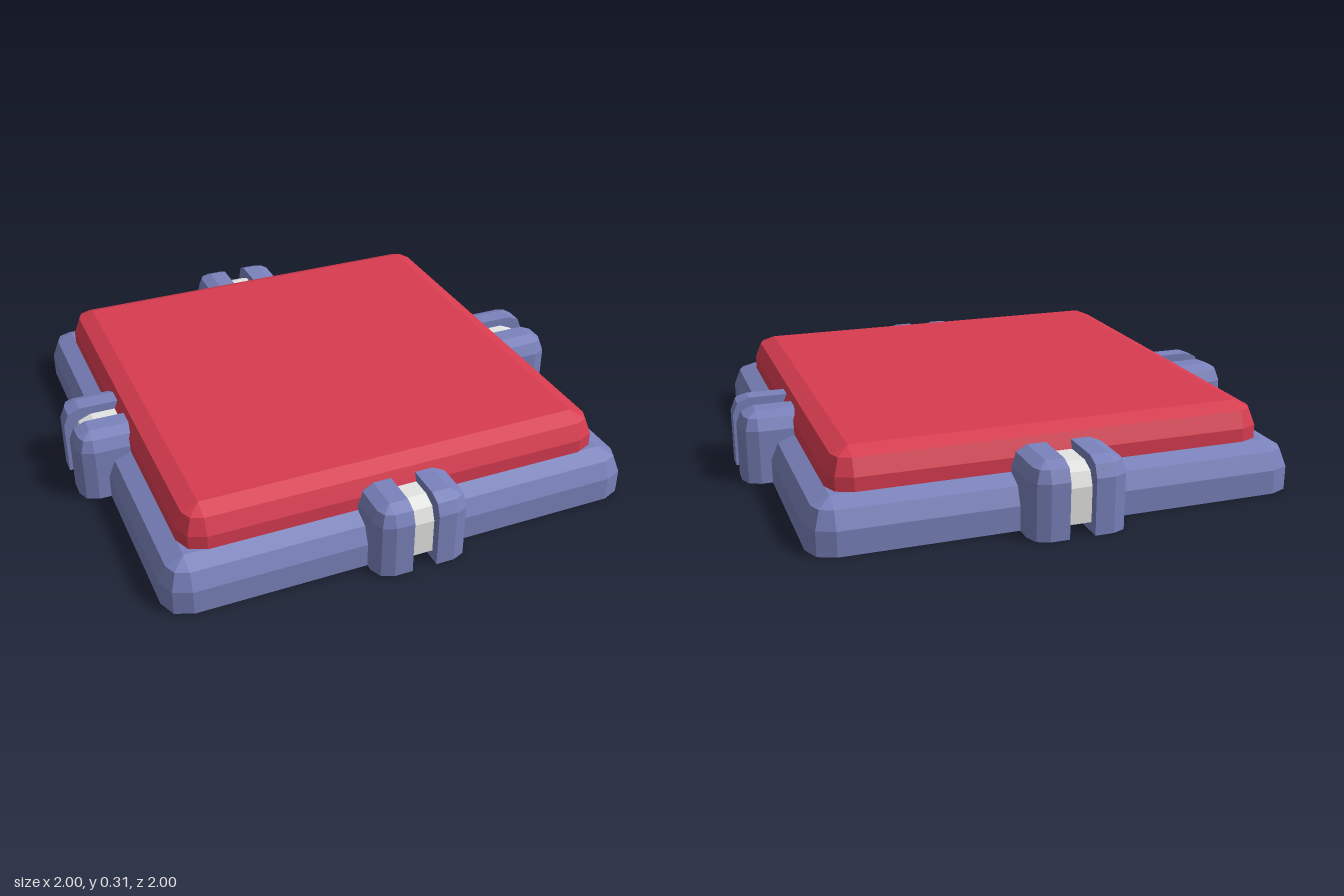
import * as THREE from 'three';
import { ConvexGeometry } from 'three/addons/geometries/ConvexGeometry.js';

// Block with two-step rounded top and upright edges. Sides listed in `square` stay sharp.
function bevelBlock(x0, x1, y0, y1, z0, z1, r, square = []) {
  const found = new Map();
  const add = (x, y, z) => {
    const key = [x, y, z].map((v) => v.toFixed(4)).join();
    found.set(key, new THREE.Vector3(x, y, z));
  };
  const steps = [0, Math.PI / 4, Math.PI / 2];
  for (const sx of [-1, 1]) for (const sz of [-1, 1]) {
    const rx = square.includes(sx < 0 ? 'x0' : 'x1') ? 0 : r;
    const rz = square.includes(sz < 0 ? 'z0' : 'z1') ? 0 : r;
    for (const a of steps) for (const b of steps) {
      // skip corner steps that would fall inside a flat end face
      if (!rx && rz && b !== steps[2]) continue;
      if (rx && !rz && b !== steps[0]) continue;
      const x = (sx < 0 ? x0 : x1) - sx * rx * (1 - Math.cos(a) * Math.cos(b));
      const z = (sz < 0 ? z0 : z1) - sz * rz * (1 - Math.cos(a) * Math.sin(b));
      add(x, rx || rz ? y1 - r * (1 - Math.sin(a)) : y1, z);
      if (a === 0) add(x, y0, z);
    }
  }
  return new ConvexGeometry([...found.values()]);
}

export function createModel() {
  const model = new THREE.Group();
  model.name = 'pressurePlate';

  const make = (name, color) => {
    const m = new THREE.MeshStandardMaterial({ color, flatShading: true });
    m.name = name;
    return m;
  };
  const blue = make('slate blue', 0x7a82bc);
  const red = make('button red', 0xd83c50);
  const white = make('light grey', 0xe4e4e2);

  const part = (parent, name, geometry, material) => {
    const mesh = new THREE.Mesh(geometry, material);
    mesh.name = name;
    parent.add(mesh);
  };

  // Base and the raised button on it
  part(model, 'base', bevelBlock(-0.893, 0.893, 0, 0.18, -0.88, 0.907, 0.09), blue);
  part(model, 'button', bevelBlock(-0.804, 0.804, 0.12, 0.315, -0.79, 0.82, 0.085), red);

  // A slotted clip with a light insert at the middle of each side
  const reach = [0.995, 0.997, 1.0, 1.0];
  ['front', 'left', 'back', 'right'].forEach((side, i) => {
    const clip = new THREE.Group();
    clip.name = side + 'Clip';
    const out = reach[i];
    part(clip, 'clipJawA', bevelBlock(0.046, 0.177, 0, 0.267, 0.74, out, 0.063, ['x0', 'z0']), blue);
    part(clip, 'clipJawB', bevelBlock(-0.177, -0.046, 0, 0.267, 0.74, out, 0.063, ['x1', 'z0']), blue);
    part(clip, 'clipInsert',
      bevelBlock(-0.046, 0.046, 0.035, 0.235, 0.74, out - 0.035, 0.07, ['x0', 'x1', 'z0']), white);
    clip.rotation.y = i * Math.PI / 2;
    model.add(clip);
  });

  return model;
}
